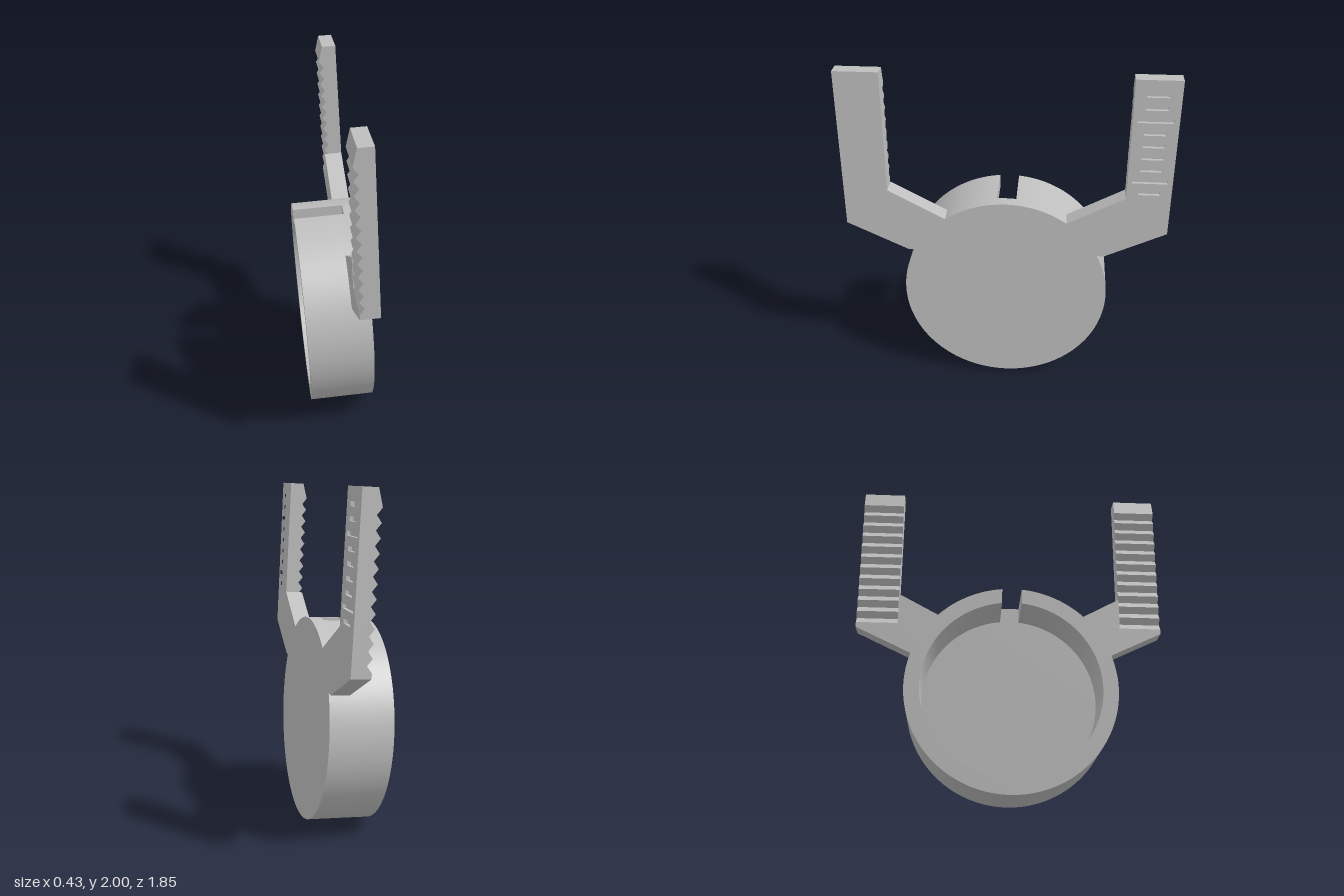
import * as THREE from 'three';
import { toCreasedNormals } from 'three/addons/utils/BufferGeometryUtils.js';

const R = 0.603, INNER = 0.515, FLOOR = 0.075, DEPTH = 0.365; // cup
const ARM = 0.107, SKIN = 0.02; // arm thickness, engraving depth
const Z0 = 0.675, Z1 = 0.925, TOP = 1.978; // upright bar

const polygon = (pts) => new THREE.Shape(pts.map(([a, b]) => new THREE.Vector2(a, b)));

// Extrudes a (z, y) outline inward (towards -x) from depth d0 to d1
function slab(shape, d0, d1) {
  const g = new THREE.ExtrudeGeometry(shape, { depth: d1 - d0, bevelEnabled: false, curveSegments: 96 });
  g.translate(0, 0, d0).rotateY(-Math.PI / 2);
  return toCreasedNormals(g, 0.5);
}

export function createModel() {
  const model = new THREE.Group();
  model.name = 'clipHolder';
  const grey = new THREE.MeshStandardMaterial({ color: 0xbfbfbf });
  grey.name = 'grey';

  // Everything leans slightly towards -x
  const body = new THREE.Group();
  body.name = 'leaningBody';
  body.position.set(0.215, 0.022, 0);
  body.rotation.z = 0.0582;
  model.add(body);
  const add = (parent, name, geometry) => {
    const mesh = new THREE.Mesh(geometry, grey);
    mesh.name = name;
    parent.add(mesh);
  };

  // Round cup: closed outer disc and a wall with a slot at the top
  const disc = new THREE.Shape();
  disc.absarc(0, R, R, 0, Math.PI * 2);
  add(body, 'cupDisc', slab(disc, 0, FLOOR));

  const up = Math.PI / 2, full = Math.PI * 2;
  const ao = Math.asin(0.057 / R), ai = Math.asin(0.057 / INNER);
  const wall = new THREE.Shape();
  wall.absarc(0, R, R, up + ao, up + full - ao, false);
  wall.absarc(0, R, INNER, up + full - ai, up + ai, true);
  wall.closePath();
  add(body, 'cupWall', slab(wall, FLOOR, DEPTH));

  // Side profile of the gripping bar, with teeth on the inner face
  const teeth = 11, low = 1.08, high = 1.885, pitch = (high - low) / teeth;
  const profile = [[-SKIN, low]];
  for (let i = 0; i < teeth; i++) {
    profile.push([-ARM, low + i * pitch], [-ARM + 0.027, low + (i + 0.5) * pitch]);
  }
  profile.push([-ARM, high], [-0.082, TOP], [-SKIN, TOP]);

  for (const s of [1, -1]) {
    const arm = new THREE.Group();
    arm.name = s > 0 ? 'frontArm' : 'backArm';
    body.add(arm);
    const outline = (pts) => polygon(pts.map(([z, y]) => [s * z, y]));
    const foot = [[Z1, 1.05], [0.575, 0.882], [0.535, 0.882], [0.35, 1.095], [Z0, 1.272]];

    // Outer skin pierced by the scale marks
    const skin = outline([...foot, [Z0, TOP], [Z1, TOP]]);
    for (let i = 0; i < 9; i++) {
      const y = 1.31 + i * 0.0728, h = 0.012;
      const w = i === 1 || i === 6 ? 0.098 : 0.06;
      skin.holes.push(outline([[0.8 - w, y - h], [0.8 - w, y + h], [0.8 + w, y + h], [0.8 + w, y - h]]));
    }
    add(arm, 'armSkin', slab(skin, 0, SKIN));

    // Sloping foot joining the bar to the cup
    add(arm, 'armFoot', slab(outline([...foot, [Z0, low], [Z1, low]]), SKIN, ARM));

    // Toothed upright bar
    const bar = new THREE.ExtrudeGeometry(polygon(profile), { depth: Z1 - Z0, bevelEnabled: false });
    bar.translate(0, 0, s > 0 ? Z0 : -Z1);
    add(arm, 'toothedBar', bar);
  }
  return model;
}
